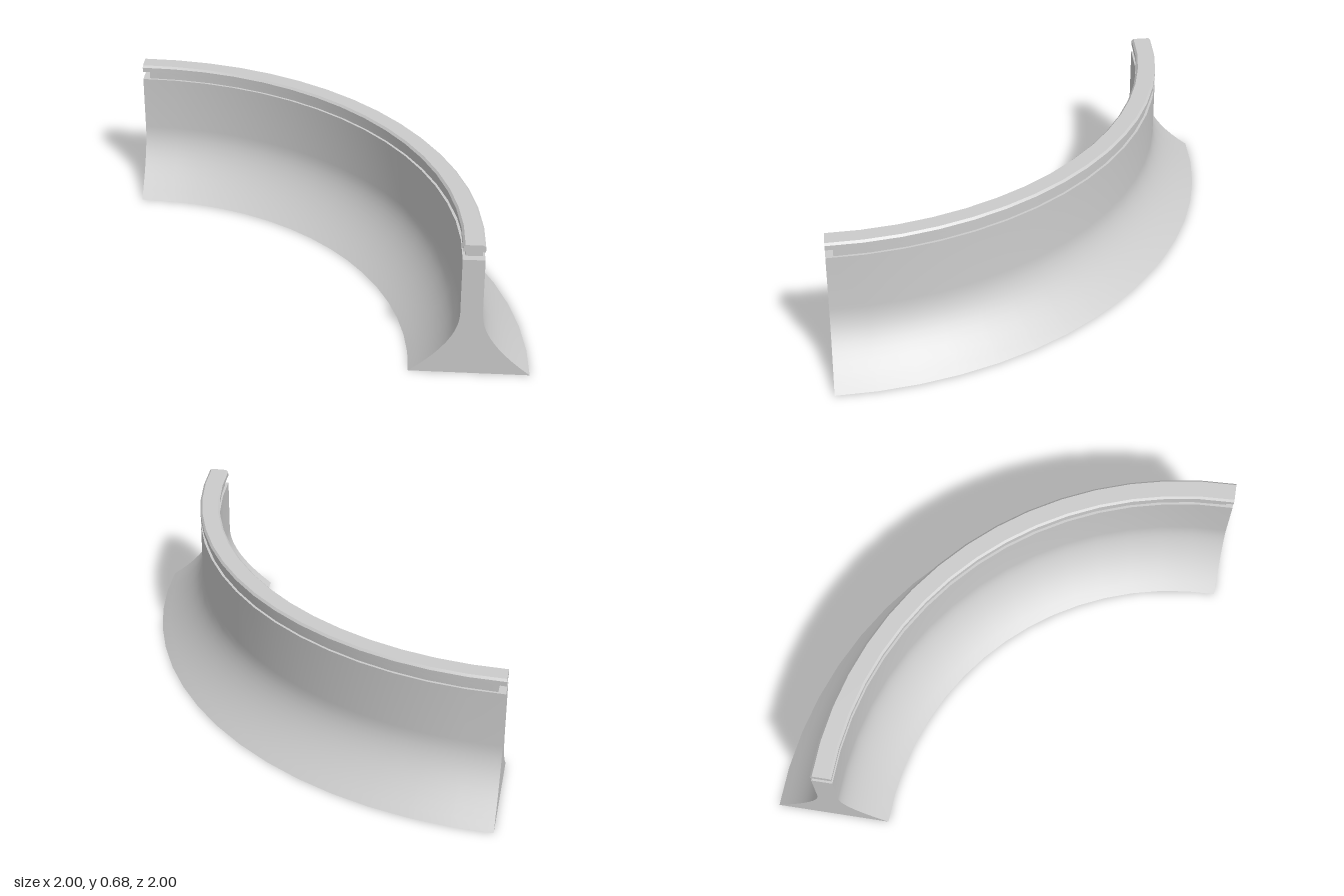
import * as THREE from 'three';
import { toCreasedNormals } from 'three/addons/utils/BufferGeometryUtils.js';

const QUARTER = Math.PI / 2;
const SEGMENTS = 16;
// wall faces, measured from the centre of the arc
const INNER = 1.675, OUTER = 1.775, MIDDLE = (INNER + OUTER) / 2;

const material = new THREE.MeshStandardMaterial({ color: 0xcccccc, side: THREE.DoubleSide });

// Sweeps a half profile (outer side, bottom to top, as [offset from middle, y])
// and its mirror image around a quarter circle, then closes both ends.
function sweptPart(name, half, closedBottom, inset = 0) {
  const part = new THREE.Group();
  part.name = name;
  const outer = half.map(([d, y]) => new THREE.Vector2(MIDDLE + d, y));
  const inner = half.map(([d, y]) => new THREE.Vector2(MIDDLE - d, y)).reverse();
  const outline = [...outer, ...inner];
  const path = closedBottom ? [...outline, outline[0].clone()] : outline;

  const sweep = new THREE.LatheGeometry(path, SEGMENTS, QUARTER + inset, QUARTER - 2 * inset);
  const body = new THREE.Mesh(toCreasedNormals(sweep, 0.6), material);
  body.name = name + 'Sweep';
  part.add(body);

  for (const angle of [inset, QUARTER - inset]) {
    const end = new THREE.Mesh(new THREE.ShapeGeometry(new THREE.Shape(outline)), material);
    end.name = name + 'End';
    end.rotation.y = angle;
    part.add(end);
  }
  return part;
}

export function createModel() {
  const model = new THREE.Group();
  model.name = 'curvedBarrier';
  const w = (OUTER - INNER) / 2;

  // wall with flared foot, hollow and open underneath
  const flare = new THREE.QuadraticBezierCurve(
    new THREE.Vector2(w + 0.225, 0),
    new THREE.Vector2(w, 0.17),
    new THREE.Vector2(w, 0.32)
  ).getPoints(10).map((p) => [p.x, p.y]);
  model.add(sweptPart('wall', [...flare, [w, 0.6]], false));

  // recessed neck, set back at both ends
  model.add(sweptPart('neck', [[w - 0.012, 0.6], [w - 0.012, 0.642]], true, 0.035 / MIDDLE));

  // top rail with bevelled upper edges
  const b = 0.01;
  model.add(sweptPart('rail', [[w, 0.642], [w, 0.675 - b], [w - b, 0.675]], true));

  // the arc's centre lies at the front right corner of the footprint
  model.children.forEach((part) => part.position.set(-1, 0, 1));
  return model;
}
